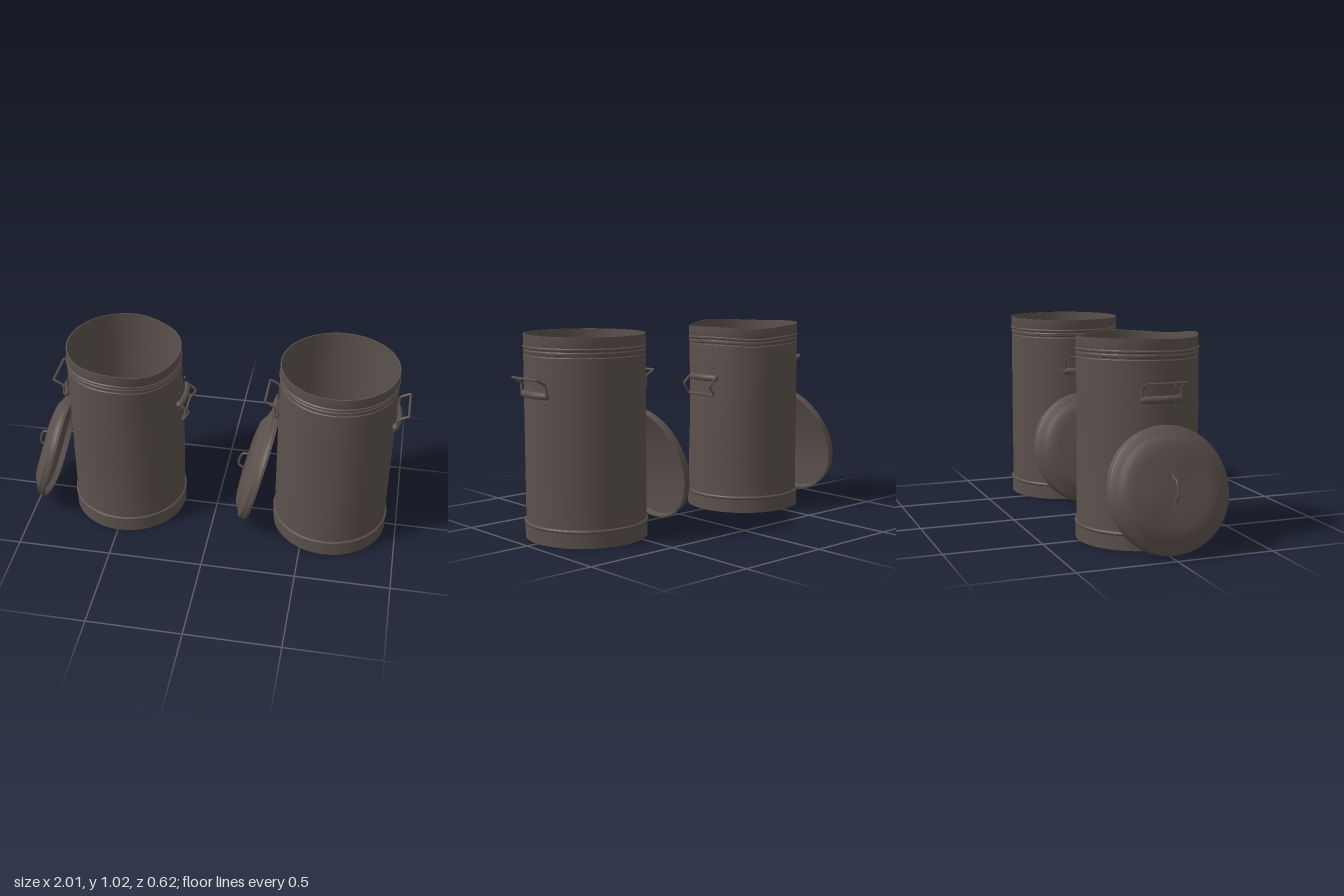
import * as THREE from 'three';
import { toCreasedNormals } from 'three/addons/utils/BufferGeometryUtils.js';

const metal = new THREE.MeshStandardMaterial({ color: 0x5b514c, side: THREE.DoubleSide });
metal.name = 'dull brown metal';

function part(name, geometry, parent) {
  const mesh = new THREE.Mesh(geometry, metal);
  mesh.name = name;
  parent.add(mesh);
  return mesh;
}

// Revolves a profile, optionally bends its vertices, and keeps sharp edges
function turned(profile, bend) {
  const geo = new THREE.LatheGeometry(profile.map(([r, y]) => new THREE.Vector2(r, y)), 72);
  if (bend) {
    const p = geo.attributes.position, v = new THREE.Vector3();
    for (let i = 0; i < p.count; i++) {
      bend(v.fromBufferAttribute(p, i));
      p.setXYZ(i, v.x, v.y, v.z);
    }
  }
  return toCreasedNormals(geo, 0.6);
}

// Battered wall: shallow waves in the radius and a sagging rim
function dentCan(v) {
  const a = Math.atan2(v.z, v.x), lift = Math.min(1, v.y / 0.2);
  const s = 1 + lift * (0.008 * Math.sin(2 * a + 5 * v.y) + 0.006 * Math.sin(3 * a - 7 * v.y) - 0.006);
  v.x *= s;
  v.z *= s;
  const top = THREE.MathUtils.smoothstep(v.y, 0.75, 1.02);
  v.y -= top * (0.018 * Math.exp(-(((v.x - 0.18) / 0.13) ** 2)) + 0.004 * Math.sin(3 * a) * (v.z > 0 ? 1 : 0.5));
}

function dentLid(v) {
  const a = Math.atan2(v.z, v.x), r = Math.hypot(v.x, v.z);
  v.y += 0.02 * r * Math.sin(3 * a + 1);
}

function wire(points, radius) {
  const curve = new THREE.CatmullRomCurve3(points.map(p => new THREE.Vector3(...p)), false, 'catmullrom', 0.25);
  return new THREE.TubeGeometry(curve, 60, radius, 8);
}

// Band that hugs the can wall around the +x direction
function band(radius, y0, y1, half) {
  const geo = new THREE.CylinderGeometry(radius, radius, y1 - y0, 16, 1, true, Math.PI / 2 - half, half * 2);
  return geo.translate(0, (y0 + y1) / 2, 0);
}

function sideHandle(hanging) {
  const g = new THREE.Group();
  g.name = 'sideHandle';
  part('upperPlate', band(0.311, 0.735, 0.812, 0.29), g);
  part('lowerPlate', band(0.313, 0.688, 0.735, 0.275), g);

  // Rolled sleeve that carries the wire
  const roll = new THREE.TorusGeometry(0.319, 0.018, 12, 20, 0.58);
  roll.rotateZ(-0.29).rotateX(Math.PI / 2).translate(0, 0.736, 0);
  part('hingeSleeve', roll, g);

  // Swinging wire: two bent arms and a grip bar
  const [elbow, grip] = hanging ? [[0.357, 0.70], [0.323, 0.645]] : [[0.316, 0.79], [0.366, 0.818]];
  const arm = s => [
    [0.312, 0.736, 0.085 * s], [0.312, 0.738, 0.1 * s],
    [...elbow, 0.1 * s], [grip[0], grip[1], 0.1 * s], [grip[0], grip[1], 0.09 * s]];
  part('swingWire', wire([...arm(1), ...arm(-1).reverse()], 0.0065), g);

  for (const s of [-1, 1]) {
    // Sleeve end caps and rivets
    const cap = part('sleeveCap', new THREE.SphereGeometry(0.018, 12, 8), g);
    cap.position.set(0.306, 0.736, 0.091 * s);
    for (const y of [0.795, 0.7]) {
      const rivet = part('rivet', new THREE.SphereGeometry(0.006, 8, 6), g);
      rivet.position.set(0.303, y, 0.074 * s);
    }
  }
  return g;
}

function lid(dented) {
  const g = new THREE.Group();
  g.name = 'lid';
  const profile = [
    [0, 0.062], [0.2, 0.055], [0.26, 0.036], [0.295, 0.03], [0.299, 0],
    [0.308, 0], [0.309, 0.014], [0.305, 0.02], [0.305, 0.038], [0.297, 0.046],
    [0.275, 0.052], [0.255, 0.066], [0.23, 0.079], [0.19, 0.086], [0.1, 0.088], [0, 0.09]];
  part('lidShell', turned(profile, dented ? dentLid : null), g);
  const half = [[0.075, 0.089, 0], [0.052, 0.094, 0], [0.042, 0.12, 0], [0.025, 0.129, 0]];
  const other = half.map(([x, y, z]) => [-x, y, z]).reverse();
  part('lidHandle', wire([...half, ...other], 0.0065), g);
  // Leans against the can
  g.position.set(-0.382, 0.312, 0);
  g.rotation.z = 1.316;
  return g;
}

function bin(name, x, dented) {
  const g = new THREE.Group();
  g.name = name;
  const wall = (r, y0, y1, n) => Array.from({ length: n + 1 }, (_, i) => [r, y0 + (y1 - y0) * i / n]);
  const profile = [
    [0, 0], [0.308, 0], [0.308, 0.072], [0.312, 0.077], [0.312, 0.084], [0.308, 0.089],
    ...wall(0.303, 0.09, 0.918, 14),
    [0.299, 0.922], [0.299, 0.927], [0.304, 0.931], [0.304, 0.942], [0.3, 0.947],
    [0.302, 0.952], [0.307, 0.955], [0.307, 0.961], [0.302, 0.966], [0.303, 0.97], [0.303, 1.02],
    ...wall(0.297, 0.02, 1.02, 14).reverse(), [0, 0.02]];
  part('canBody', turned(profile, dented ? dentCan : null), g);

  const left = sideHandle(dented);
  const right = sideHandle(false);
  right.rotation.y = Math.PI;
  g.add(left, right, lid(dented));
  g.position.x = x;
  return g;
}

export function createModel() {
  const model = new THREE.Group();
  model.name = 'metalBins';
  model.add(bin('dentedBin', -0.49, true), bin('plainBin', 0.632, false));
  return model;
}
